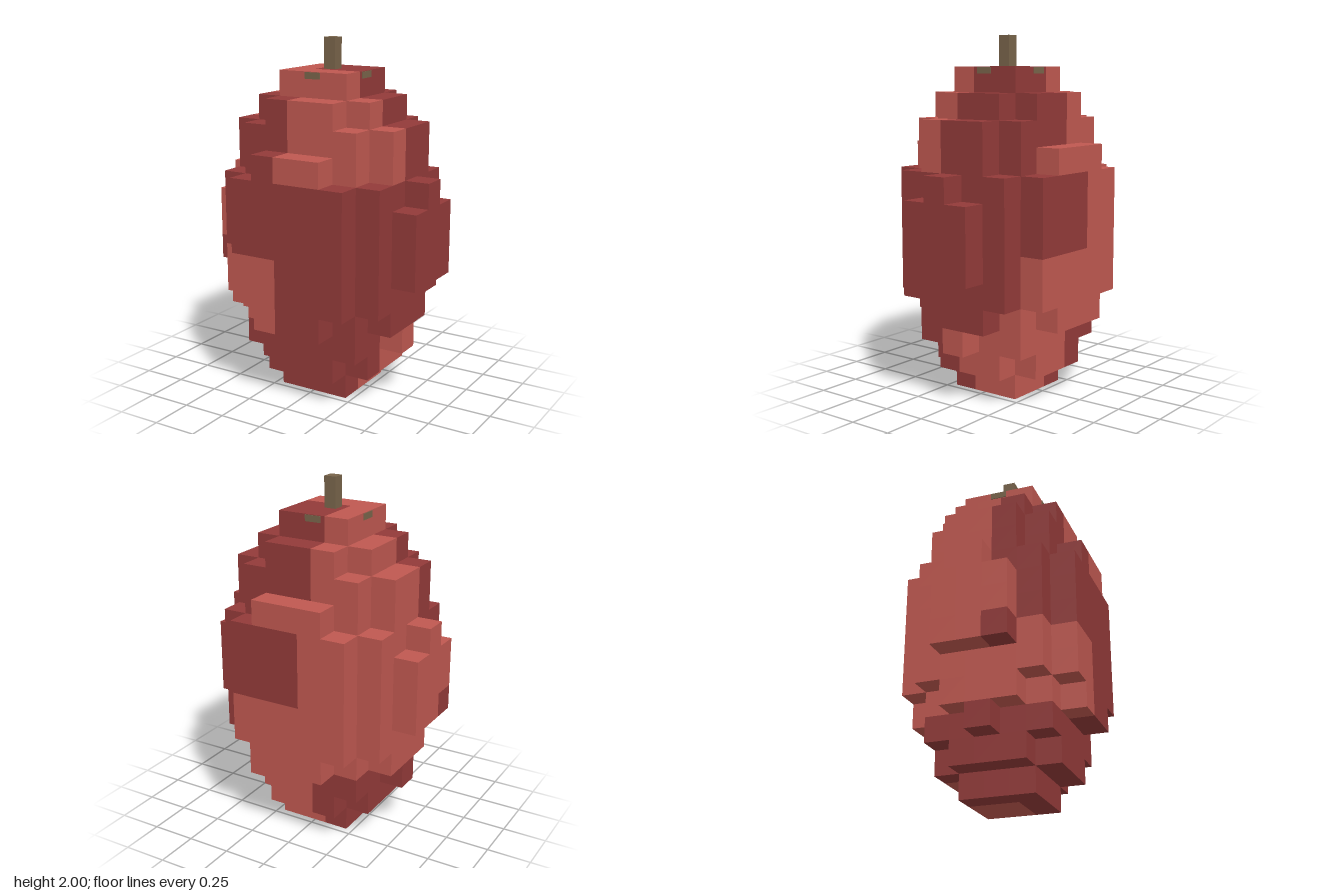
import * as THREE from 'three';
import { mergeGeometries } from 'three/addons/utils/BufferGeometryUtils.js';

const V = 0.1406; // voxel size

// Half-widths of each layer, bottom to top: widest |x| in the rows |z| = 0, 1, 2, 3
const LAYERS = [
  [1, 1], [2, 2, 1], [3, 2, 2], [3, 3, 2, 1], [3, 3, 3, 2],
  [4, 4, 3, 2], [4, 4, 3, 2], [4, 4, 3, 2], [4, 3, 3, 2],
  [3, 3, 2, 1], [3, 3, 2], [2, 2, 1], [1, 1],
];

// Colour of each 3-voxel patch (D dark, L light): [height][back to front], letters run along x
const PATCHES = [
  ['LDLL', 'LDLL', 'DDDD'],
  ['LLLL', 'LLLD', 'DLDD'],
  ['LLDD', 'LLDD', 'LDDD'],
  ['LLLL', 'LLDD', 'DDLL'],
  ['LLLL', 'LLDD', 'LLLL'],
];

const filled = (x, y, z) => {
  const row = LAYERS[y]?.[Math.abs(z)];
  return row !== undefined && Math.abs(x) <= row;
};

const patch = (x, y, z) =>
  PATCHES[Math.floor(y / 3)][Math.floor((z + 5) / 3)][Math.floor((x + 6) / 3)];

// One outward square per exposed voxel side
const SIDES = [[1, 0, 0], [-1, 0, 0], [0, 1, 0], [0, -1, 0], [0, 0, 1], [0, 0, -1]];

function side(x, y, z, [dx, dy, dz]) {
  const g = new THREE.PlaneGeometry(V, V);
  if (dx) g.rotateY(dx * Math.PI / 2);
  if (dy) g.rotateX(-dy * Math.PI / 2);
  if (dz < 0) g.rotateY(Math.PI);
  return g.translate((x + dx / 2) * V, (y + 0.5 + dy / 2) * V, (z + dz / 2) * V);
}

export function createModel() {
  const group = new THREE.Group();
  group.name = 'voxelFruit';
  const material = (name, color) => {
    const m = new THREE.MeshStandardMaterial({ color });
    m.name = name;
    return m;
  };
  const lightRed = material('lightRed', 0xbf5850);
  const darkRed = material('darkRed', 0x923a39);
  const brown = material('stemBrown', 0x78644a);

  const add = (name, geometry, mat) => {
    const mesh = new THREE.Mesh(geometry, mat);
    mesh.name = name;
    group.add(mesh);
    return mesh;
  };

  // Skin, split into its two reds
  const faces = { L: [], D: [] };
  for (let y = 0; y < LAYERS.length; y++)
    for (let z = -3; z <= 3; z++)
      for (let x = -4; x <= 4; x++) {
        if (!filled(x, y, z)) continue;
        for (const d of SIDES)
          if (!filled(x + d[0], y + d[1], z + d[2]))
            faces[patch(x, y, z)].push(side(x, y, z, d));
      }
  add('lightSkin', mergeGeometries(faces.L), lightRed);
  add('darkSkin', mergeGeometries(faces.D), darkRed);

  // Stem, and the crossed leaf bars whose tips show just under the top
  add('stem', new THREE.BoxGeometry(0.07, 0.21, 0.07), brown).position.y = 1.895;
  for (const [name, w, d] of [['leafBarAcross', 0.43, 0.094], ['leafBarAlong', 0.094, 0.43]])
    add(name, new THREE.BoxGeometry(w, 0.036, d), brown).position.y = 1.807;

  return group;
}
